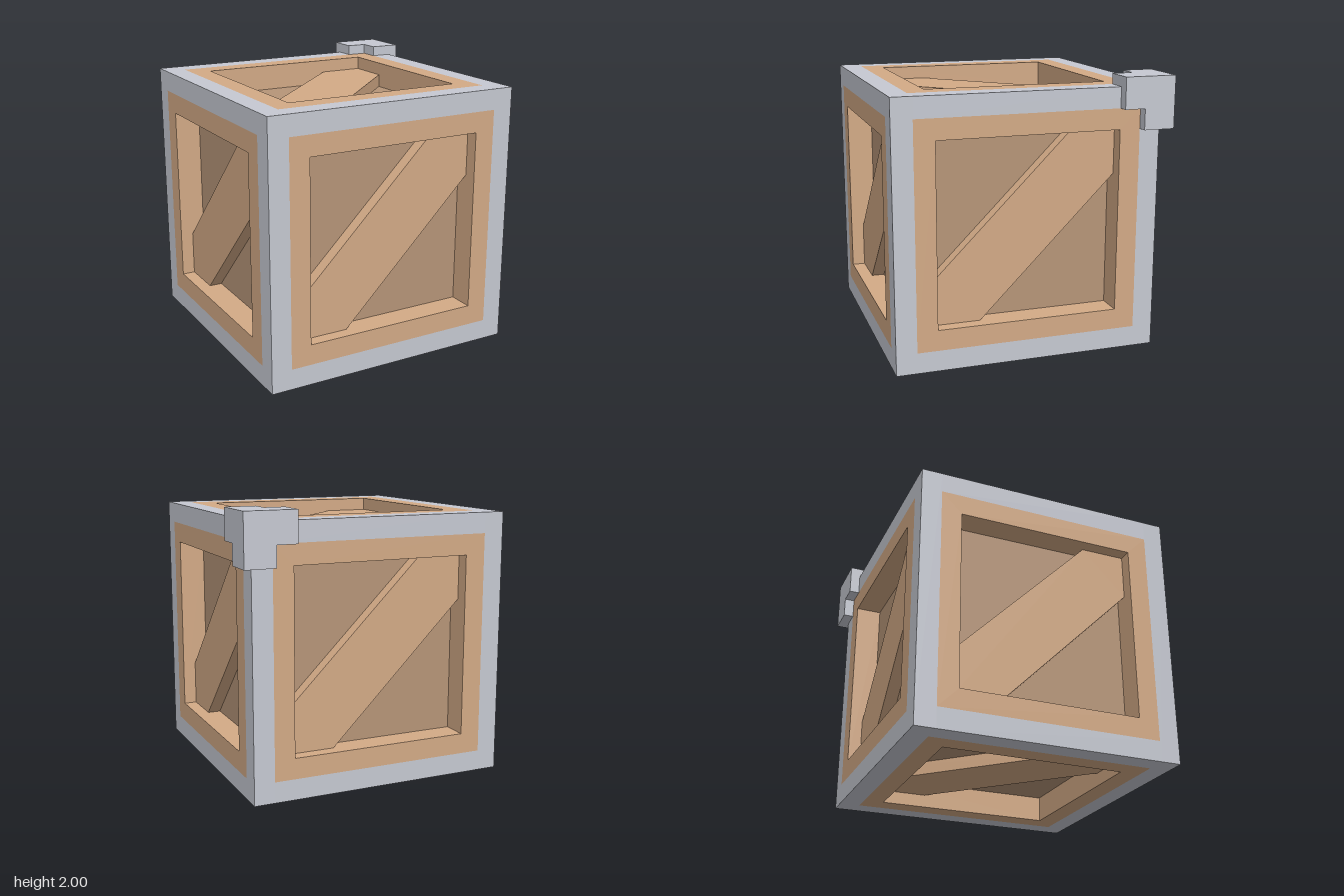
import * as THREE from 'three';

const HALF = 0.9625;   // half the crate's side
const BAR = 0.15;      // width of the metal edging and of the wooden frame
const RECESS = 0.19;   // depth of the panels
const BRACE = 0.095;   // depth of the brace's outer face

const metal = new THREE.MeshStandardMaterial({ color: 0xc6c9d2 });
const wood = new THREE.MeshStandardMaterial({ color: 0xd3aa86 });
const panelWood = new THREE.MeshStandardMaterial({ color: 0xb69578 });

function add(parent, name, geometry, material, x = 0, y = 0, z = 0) {
  const mesh = new THREE.Mesh(geometry, material);
  mesh.name = name;
  mesh.position.set(x, y, z);
  parent.add(mesh);
  return mesh;
}

const square = (h) => [[-h, -h], [h, -h], [h, h], [-h, h]].map(([x, y]) => new THREE.Vector2(x, y));
const extrude = (shape, depth) => new THREE.ExtrudeGeometry(shape, { depth, bevelEnabled: false });

// Wooden frame and diagonal brace of one face, facing +z
function createFace(name) {
  const face = new THREE.Group();
  face.name = name;
  const outer = HALF - BAR;
  const inner = HALF - 2 * BAR;

  const frame = new THREE.Shape(square(outer));
  frame.holes.push(new THREE.Path(square(inner)));
  add(face, 'woodenFrame', extrude(frame, RECESS), wood, 0, 0, HALF - RECESS);

  const s = inner / 2; // the brace's edges meet the frame halfway along each half side
  const brace = new THREE.Shape([
    [-inner, -inner], [-s, -inner], [inner, s], [inner, inner], [s, inner], [-inner, -s],
  ].map(([x, y]) => new THREE.Vector2(x, y)));
  add(face, 'diagonalBrace', extrude(brace, RECESS - BRACE), wood, 0, 0, HALF - RECESS);
  return face;
}

// Metal bars along the twelve edges
function createEdging() {
  const edging = new THREE.Group();
  edging.name = 'metalEdging';
  const c = HALF - BAR / 2;
  const long = 2 * HALF;
  const short = long - 2 * BAR;
  for (const a of [-c, c]) {
    for (const b of [-c, c]) {
      add(edging, 'uprightBar', new THREE.BoxGeometry(BAR, long, BAR), metal, a, 0, b);
      add(edging, 'crossBar', new THREE.BoxGeometry(short, BAR, BAR), metal, 0, a, b);
      add(edging, 'sideBar', new THREE.BoxGeometry(BAR, BAR, short), metal, a, b, 0);
    }
  }
  return edging;
}

// Corner cap: a cube with a short arm along each of the three edges
function createCornerCap() {
  const cap = new THREE.Group();
  cap.name = 'cornerCap';
  const size = 0.225;
  const arm = 0.15;
  const shift = (size + arm) / 2;
  add(cap, 'capBlock', new THREE.BoxGeometry(size, size, size), metal);
  add(cap, 'capArmAcross', new THREE.BoxGeometry(arm, size, size), metal, -shift, 0, 0);
  add(cap, 'capArmDown', new THREE.BoxGeometry(size, arm, size), metal, 0, -shift, 0);
  add(cap, 'capArmForward', new THREE.BoxGeometry(size, size, arm), metal, 0, 0, shift);
  cap.position.set(1 - size / 2, 2 - size / 2, -1 + size / 2);
  return cap;
}

export function createModel() {
  const model = new THREE.Group();
  model.name = 'crate';

  const body = new THREE.Group();
  body.name = 'crateBody';
  body.position.set(HALF - 1, HALF, 1 - HALF);
  model.add(body);

  // Inner box, seen as the sunken panels
  const core = 2 * (HALF - RECESS);
  add(body, 'panels', new THREE.BoxGeometry(core, core, core), panelWood);
  body.add(createEdging());

  // Six faces: name and rotation about x, y and z
  const q = Math.PI / 2;
  const faces = [
    ['frontFace', 0, 0, 0],
    ['leftFace', 0, q, 0],
    ['backFace', 0, 2 * q, 0],
    ['rightFace', 0, -q, 0],
    ['topFace', -q, 0, 0],
    ['bottomFace', q, 0, q],
  ];
  for (const [name, rx, ry, rz] of faces) {
    const face = createFace(name);
    face.rotation.set(rx, ry, rz);
    body.add(face);
  }

  model.add(createCornerCap());
  return model;
}
